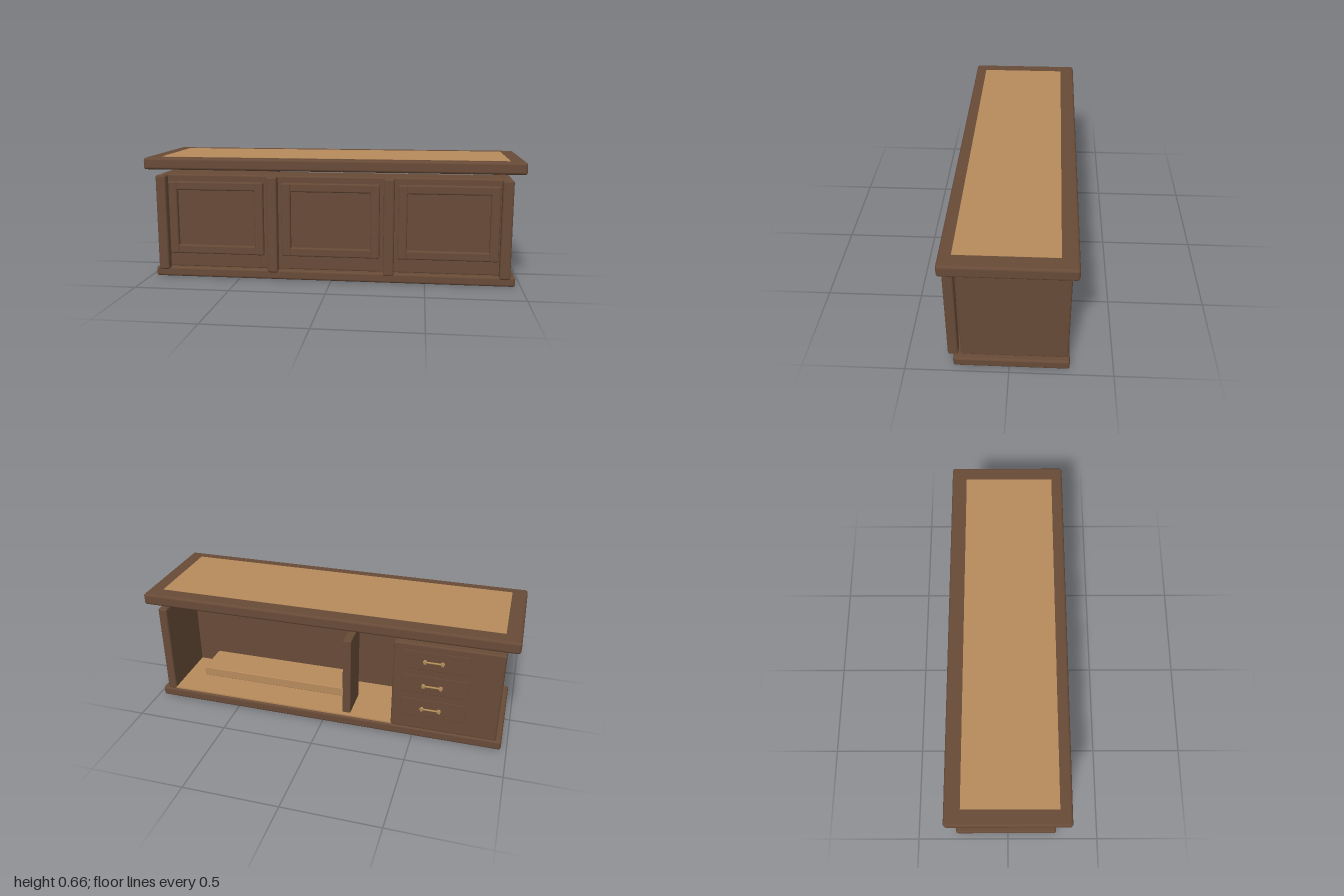
import * as THREE from 'three';
import { RoundedBoxGeometry } from 'three/addons/geometries/RoundedBoxGeometry.js';

export function createModel() {
  const model = new THREE.Group();
  model.name = 'counter';
  const material = (name, color) => {
    const m = new THREE.MeshStandardMaterial({ color });
    m.name = name;
    return m;
  };
  const darkWood = material('dark wood', 0x674a37);
  const lightWood = material('light wood', 0xb68a5c);
  const brass = material('brass', 0xb08c58);

  // Box given by its limits on each axis; radius > 0 rounds the edges
  function block(name, mat, [x0, x1], [y0, y1], [z0, z1], radius = 0, parent = model) {
    const w = x1 - x0, h = y1 - y0, d = z1 - z0;
    const geometry = radius > 0
      ? new RoundedBoxGeometry(w, h, d, 3, radius)
      : new THREE.BoxGeometry(w, h, d);
    const mesh = new THREE.Mesh(geometry, mat);
    mesh.name = name;
    mesh.position.set((x0 + x1) / 2, (y0 + y1) / 2, (z0 + z1) / 2);
    parent.add(mesh);
    return mesh;
  }

  // Rod lying along one axis
  function rod(name, radius, length, axis, position, parent) {
    const geometry = new THREE.CylinderGeometry(radius, radius, length, 12);
    if (axis === 'x') geometry.rotateZ(Math.PI / 2);
    else geometry.rotateX(Math.PI / 2);
    const mesh = new THREE.Mesh(geometry, brass);
    mesh.name = name;
    mesh.position.set(...position);
    parent.add(mesh);
  }

  // Plinth and overhanging worktop with its inlay
  block('base', darkWood, [-0.97, 0.97], [0, 0.052], [-0.29, 0.27], 0.012);
  block('worktop', darkWood, [-1, 1], [0.595, 0.658], [-0.311, 0.311], 0.014);
  block('worktopInlay', lightWood, [-0.92, 0.92], [0.651, 0.6595], [-0.23, 0.25]);

  // Carcass: side panel, thick front wall and solid drawer cabinet
  const bodyY = [0.048, 0.563];
  block('sidePanel', darkWood, [0.89, 0.94], bodyY, [-0.283, 0.235], 0.01);
  block('frontWall', darkWood, [-0.39, 0.9], bodyY, [0.065, 0.235], 0.01);
  block('drawerCabinet', darkWood, [-0.94, -0.38], bodyY, [-0.283, 0.235], 0.01);

  // Open storage seen from behind
  block('interiorFloor', lightWood, [-0.39, 0.9], [0.048, 0.06], [-0.28, 0.07]);
  block('divider', darkWood, [-0.15, -0.105], [0.055, 0.51], [-0.258, -0.07], 0.006);
  block('shelf', lightWood, [-0.11, 0.705], [0.163, 0.213], [-0.258, -0.065], 0.004);

  // Front posts
  for (const x of [-0.915, -0.312, 0.308, 0.912]) {
    block('frontPost', darkWood, [x - 0.028, x + 0.028], [0.045, 0.563], [0.247, 0.298], 0.01);
  }

  // Framed front panels: two stiles and two rails each
  for (const [x0, x1] of [[-0.885, -0.365], [-0.265, 0.258], [0.355, 0.88]]) {
    const frame = new THREE.Group();
    frame.name = 'frontFrame';
    model.add(frame);
    for (const x of [x0, x1 - 0.048]) {
      block('stile', darkWood, [x, x + 0.048], [0.13, 0.527], [0.238, 0.268], 0.008, frame);
    }
    for (const y of [0.13, 0.48]) {
      block('rail', darkWood, [x0 + 0.04, x1 - 0.04], [y, y + 0.047], [0.238, 0.264], 0.008, frame);
    }
  }

  // Drawers with bar handles on the back
  for (const y of [0.185, 0.328, 0.472]) {
    const drawer = new THREE.Group();
    drawer.name = 'drawer';
    model.add(drawer);
    block('drawerFront', darkWood, [-0.77, -0.43], [y - 0.053, y + 0.053], [-0.2845, -0.277], 0.003, drawer);
    rod('handleBar', 0.005, 0.11, 'x', [-0.59, y, -0.294], drawer);
    for (const x of [-0.635, -0.545]) {
      block('handleEnd', brass, [x - 0.007, x + 0.007], [y - 0.009, y + 0.009], [-0.302, -0.287], 0, drawer);
      rod('handleStem', 0.006, 0.016, 'z', [x, y, -0.285], drawer);
    }
  }

  return model;
}
